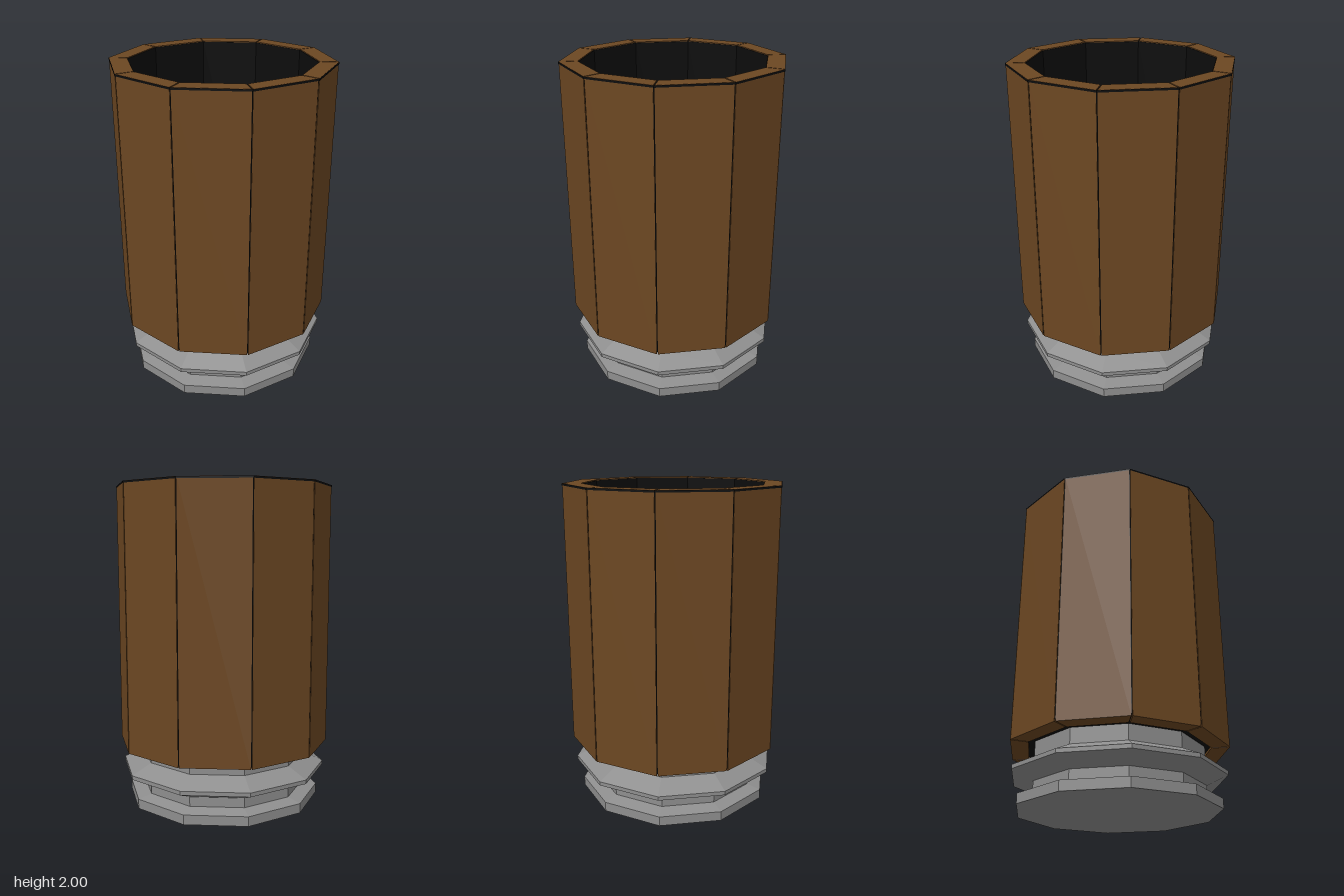
import * as THREE from 'three';

const SIDES = 10;

export function createModel() {
  const wood = new THREE.MeshStandardMaterial({ color: 0x6c4722 });
  const metal = new THREE.MeshStandardMaterial({ color: 0x8e8e8e });
  const black = new THREE.MeshStandardMaterial({ color: 0x0d0d0d });
  const model = new THREE.Group();

  const add = (name, geometry, material, parent = model) => {
    const mesh = new THREE.Mesh(geometry, material);
    mesh.name = name;
    parent.add(mesh);
    return mesh;
  };

  // Ten-sided turned solid with flat faces and a corner on the x axis
  const turned = (profile) => {
    const points = profile.map(([r, y]) => new THREE.Vector2(r, y));
    const g = new THREE.LatheGeometry(points, SIDES, Math.PI / 2).toNonIndexed();
    g.computeVertexNormals();
    return g;
  };

  // Grooved metal base, from the foot up to the neck
  add('base', turned([
    [0, 0], [0.62, 0], [0.62, 0.06], [0.53, 0.08], [0.53, 0.14],
    [0.66, 0.195], [0.66, 0.22], [0.53, 0.28], [0.53, 0.375], [0, 0.375],
  ]), metal);

  // Dark hollow lining, seen inside the cup and in the seams between staves
  add('lining', turned([
    [0, 0.38], [0.676, 0.38], [0.676, 1.995], [0.566, 1.995], [0.566, 0.42], [0, 0.42],
  ]), black);

  // One stave: a trapezoid section extruded upwards
  const outer = 0.68, inner = 0.57, bottom = 0.365, top = 2, gap = 0.004;
  const half = Math.PI / SIDES;
  const section = new THREE.Shape([
    [inner * Math.cos(half), -inner * Math.sin(half) + gap],
    [outer * Math.cos(half), -outer * Math.sin(half) + gap],
    [outer * Math.cos(half), outer * Math.sin(half) - gap],
    [inner * Math.cos(half), inner * Math.sin(half) - gap],
  ].map(([x, y]) => new THREE.Vector2(x, y)));
  const staveGeometry = new THREE.ExtrudeGeometry(section, { depth: top - bottom, bevelEnabled: false });
  staveGeometry.rotateX(-Math.PI / 2).translate(0, bottom, 0);

  const staves = new THREE.Group();
  staves.name = 'staves';
  model.add(staves);
  for (let i = 0; i < SIDES; i++) {
    add('stave', staveGeometry, wood, staves).rotation.y = (2 * i + 1) * half;
  }

  // Thin dark line around the rim
  add('rimLine', turned([[0.682, 1.988], [0.682, 1.999], [0.676, 1.999]]), black);

  return model;
}
